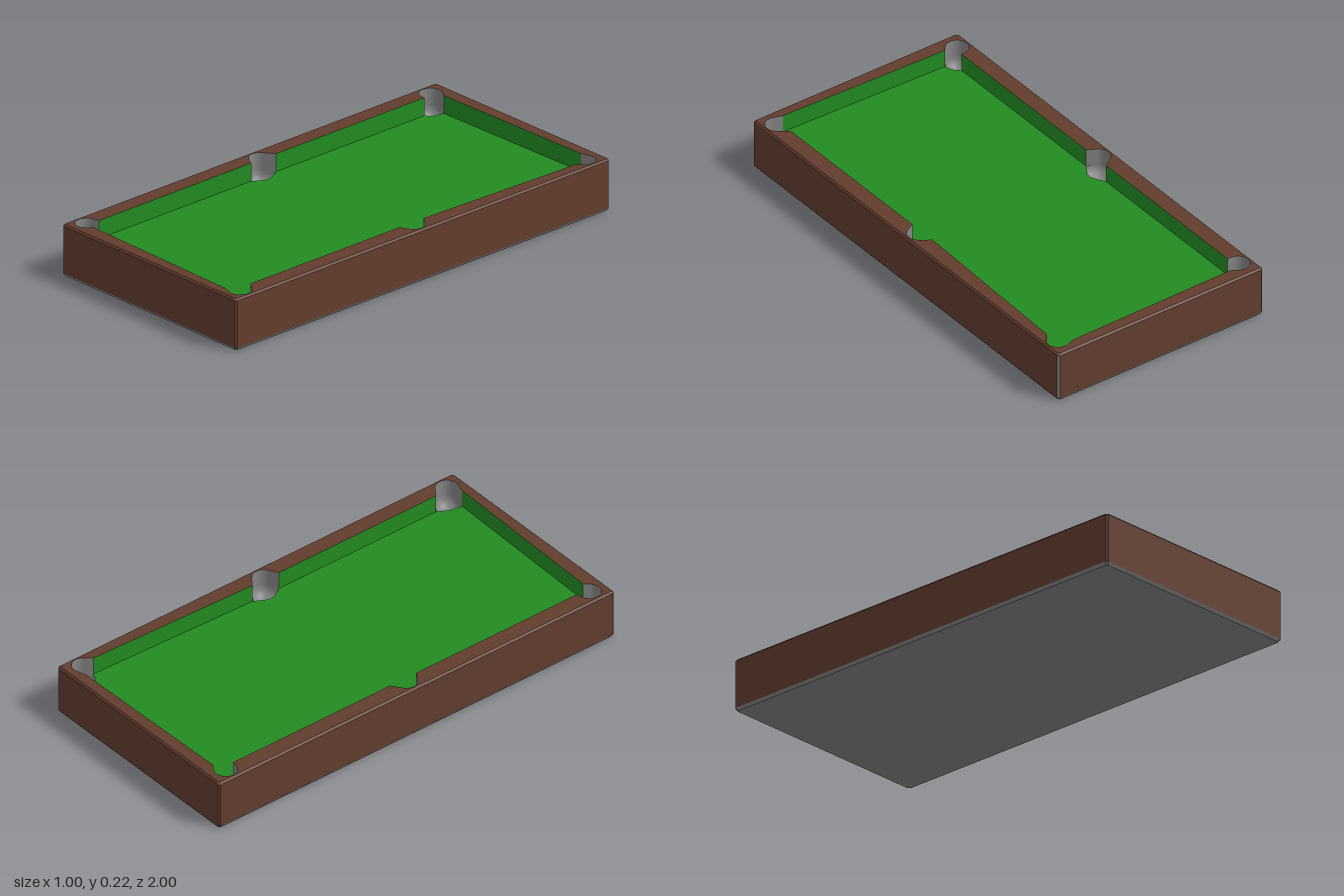
import * as THREE from 'three';

const TOP = 0.222, BED = 0.145, R = 0.047;

// Pocket centre, then the two cushion tips (jaws) beside it, in order around the table: [x, z]
const POCKETS = [
  { c: [-0.44, -0.917], a: [-0.424, -0.868], b: [-0.388, -0.938] },
  { c: [0.44, -0.917], a: [0.387, -0.949], b: [0.45, -0.858] },
  { c: [0.44, -0.005], a: [0.424, -0.074], b: [0.424, 0.058] },
  { c: [0.44, 0.922], a: [0.424, 0.853], b: [0.387, 0.954] },
  { c: [-0.44, 0.922], a: [-0.388, 0.932], b: [-0.424, 0.872] },
  { c: [-0.44, -0.005], a: [-0.424, 0.058], b: [-0.424, -0.074] },
];

// Arc around a pocket between the tangents drawn from two jaws
function arc(c, from, to, n) {
  const polar = (p) => {
    const dx = p[0] - c[0], dz = p[1] - c[1];
    return [Math.atan2(dz, dx), Math.acos(Math.min(1, R / Math.hypot(dx, dz)))];
  };
  const [t0, d0] = polar(from), [t1, d1] = polar(to);
  const span = (t1 - t0 + Math.PI * 4) % (Math.PI * 2);
  const start = t0 + d0, end = t0 + span - d1;
  return Array.from({ length: n + 1 }, (_, i) => {
    const t = start + ((end - start) * i) / n;
    return [c[0] + R * Math.cos(t), c[1] + R * Math.sin(t)];
  });
}

// Skin through rows of 3D points
function skin(rows, closed, outward) {
  const n = rows[0].length, index = [];
  for (let j = 0; j < rows.length - 1; j++) {
    for (let i = 0; i < (closed ? n : n - 1); i++) {
      const k = (i + 1) % n;
      const a = j * n + i, b = j * n + k, c = a + n, d = b + n;
      if (outward) index.push(a, b, c, b, d, c);
      else index.push(a, c, b, b, c, d);
    }
  }
  const g = new THREE.BufferGeometry();
  g.setAttribute('position', new THREE.Float32BufferAttribute(rows.flat(2), 3));
  g.setIndex(index);
  g.computeVertexNormals();
  return g;
}

const level = (pts, y) => pts.map(([x, z]) => [x, y, z]);
const toV2 = (pts) => pts.map(([x, z]) => new THREE.Vector2(x, -z));

// Flat horizontal sheet facing up, with an optional hole
function sheet(pts, y, hole) {
  const s = new THREE.Shape(toV2(pts));
  if (hole) s.holes.push(new THREE.Path(toV2(hole)));
  return new THREE.ShapeGeometry(s).rotateX(-Math.PI / 2).translate(0, y, 0);
}

// Table outline with small cut corners
function outline(inset, cut = 0.008) {
  const x = 0.5 - inset, z = 1 - inset;
  return [
    [-x, -z + cut], [-x + cut, -z], [x - cut, -z], [x, -z + cut],
    [x, z - cut], [x - cut, z], [-x + cut, z], [-x, z - cut],
  ];
}

export function createModel() {
  const group = new THREE.Group();
  const material = (name, color, side = THREE.FrontSide) => {
    const m = new THREE.MeshStandardMaterial({ color, side });
    m.name = name;
    return m;
  };
  const wood = material('brown wood', 0x623d2e);
  const felt = material('green felt', 0x228b22, THREE.DoubleSide);
  const grey = material('grey', 0x858585, THREE.DoubleSide);
  const add = (name, geometry, mat) => {
    const mesh = new THREE.Mesh(geometry, mat);
    mesh.name = name;
    group.add(mesh);
  };

  const hole = [], bed = [];
  POCKETS.forEach(({ c, a, b }, i) => {
    const outer = [a, ...arc(c, a, b, 20), b];
    const inner = arc(c, b, a, 12);
    hole.push(...outer);
    bed.push(a, ...[...inner].reverse(), b);

    // Pocket wall cut into the rail, and rounded bowl below the bed
    add('pocketWall', skin([level(outer, TOP), level(outer, BED)], false, false), grey);
    const loop = [...outer, ...inner];
    const rows = [];
    for (let j = 0; j <= 7; j++) {
      const t = (j / 7) * Math.PI / 2, k = Math.max(Math.cos(t), 0.001);
      rows.push(level(loop.map(([x, z]) => [c[0] + (x - c[0]) * k, c[1] + (z - c[1]) * k]), BED - R * Math.sin(t)));
    }
    add('pocketBowl', skin(rows, true, false), grey);

    // Cushion face running to the next pocket
    const edge = [b, POCKETS[(i + 1) % POCKETS.length].a];
    add('cushion', skin([level(edge, TOP), level(edge, BED)], false, false), felt);
  });

  add('playingBed', sheet(bed, BED), felt);
  add('railTop', sheet(outline(0.007), TOP, hole), wood);

  // Cabinet sides, one strip per side so the edges stay sharp
  const rings = [
    level(outline(0.007), TOP), level(outline(0), TOP - 0.008),
    level(outline(0), 0.012), level(outline(0.008), 0),
  ];
  for (let i = 0; i < 8; i++) {
    const part = (r) => [rings[r][i], rings[r][(i + 1) % 8]];
    const strip = (r) => skin([part(r), part(r + 1)], false, true);
    add('railBevel', strip(0), wood);
    add('cabinetSide', strip(1), i === 2 ? grey : wood); // one corner strip is bare
    add('baseTrim', strip(2), grey);
  }

  // Underside
  add('underside', sheet(outline(0.008), 0).scale(1, -1, 1), grey);
  const under = group.children[group.children.length - 1].geometry;
  const idx = under.index.array;
  for (let i = 0; i < idx.length; i += 3) [idx[i], idx[i + 1]] = [idx[i + 1], idx[i]];
  under.computeVertexNormals();

  return group;
}
